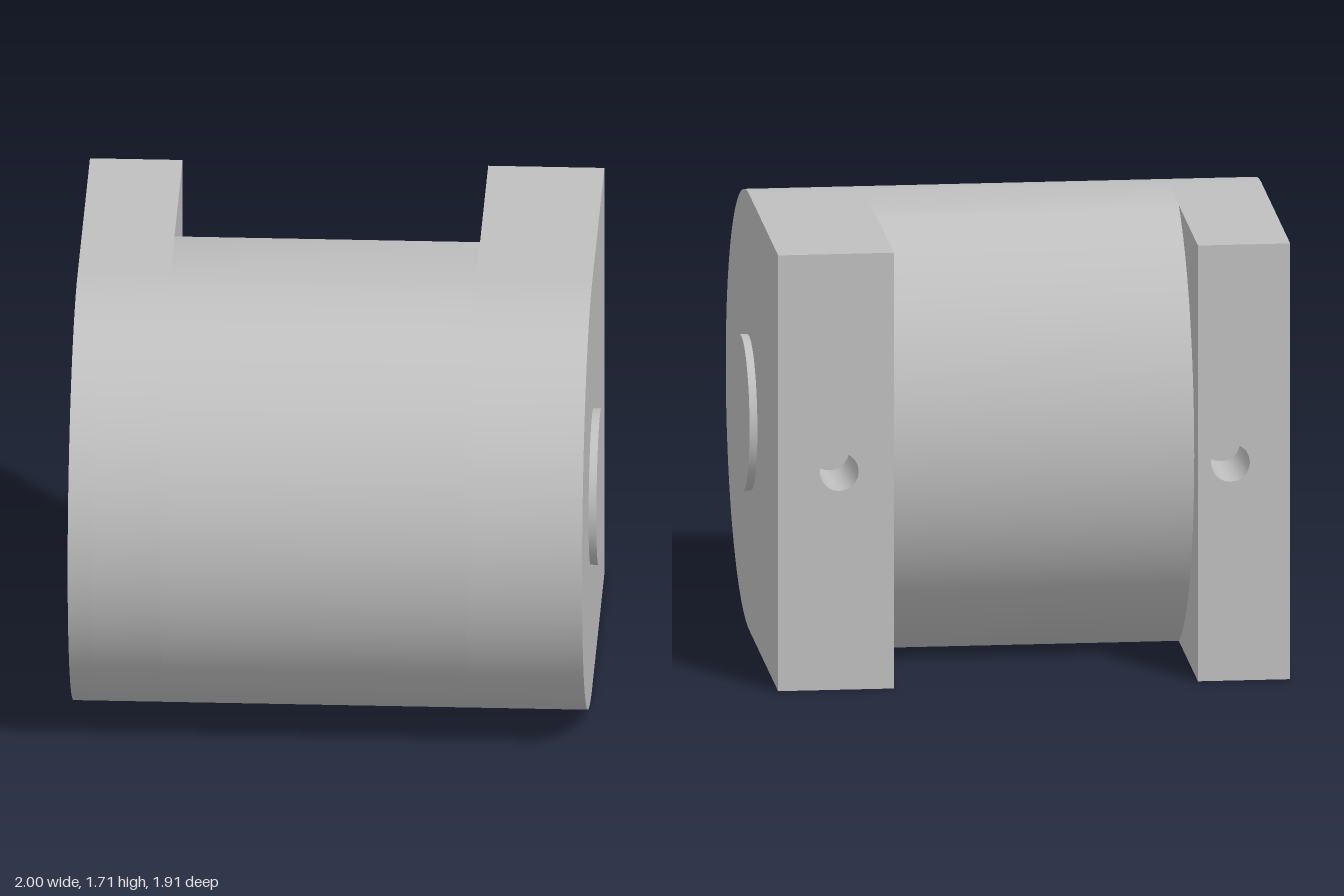
import * as THREE from 'three';
import { toCreasedNormals } from 'three/addons/utils/BufferGeometryUtils.js';

const R = 0.855;        // front rounding radius, also half the height
const CZ = 0.1;         // z of the rounding axis
const BACK = -0.955;    // rear face of the flanges
const SEAM = -0.6;      // floor of the bolt holes
const SLOT_L = 0.525, SLOT_R = -0.645; // slot walls
const END_L = 0.97, END_R = -1;

// Side outlines are drawn with u = -z, then extruded along x.
function frontArc(shape) {
  shape.lineTo(-CZ, 2 * R);
  shape.absarc(-CZ, R, R, Math.PI / 2, Math.PI * 1.5, false);
}

function flangeShape(recessRadius) {
  const s = new THREE.Shape();
  s.moveTo(-SEAM, 2 * R);
  frontArc(s);
  s.lineTo(-SEAM, 0);
  s.closePath();
  if (recessRadius) {
    s.holes.push(new THREE.Path().absarc(-CZ, R, recessRadius, 0, Math.PI * 2, true));
  }
  return s;
}

function drumShape() {
  const r = 0.93, cu = -0.11, a = Math.asin(R / r);
  const s = new THREE.Shape();
  s.moveTo(cu + r * Math.cos(a), 2 * R);
  frontArc(s);
  s.lineTo(cu + r * Math.cos(a), 0);
  s.absarc(cu, R, r, -a, a, false);
  return s;
}

function extrude(shape, depth, curveSegments) {
  return new THREE.ExtrudeGeometry(shape, { depth, curveSegments, bevelEnabled: false });
}

function alongX(shape, x0, x1) {
  const g = extrude(shape, x1 - x0, 32);
  g.rotateY(Math.PI / 2).translate(x0, 0, 0);
  return toCreasedNormals(g, 0.5);
}

export function createModel() {
  const grey = new THREE.MeshStandardMaterial({ color: 0xbfbfbf });
  grey.name = 'machinedGrey';
  const model = new THREE.Group();
  model.name = 'bearingHousing';

  const add = (name, geometry) => {
    const mesh = new THREE.Mesh(geometry, grey);
    mesh.name = name;
    model.add(mesh);
    return mesh;
  };

  // Body between the flanges, with its rounded rear
  add('drum', alongX(drumShape(), SLOT_R, SLOT_L));

  // Side flanges; the right one has a round recess outside
  add('leftFlange', alongX(flangeShape(), SLOT_L, END_L));
  add('rightFlange', alongX(flangeShape(), END_R + 0.09, SLOT_R));
  add('rightRecessRim', alongX(flangeShape(0.61), END_R, END_R + 0.09));

  // Rear mounting legs with blind bolt holes
  for (const [name, x0, x1, hx] of [
    ['leftLeg', SLOT_L, END_L, 0.735],
    ['rightLeg', END_R, SLOT_R, -0.77],
  ]) {
    const s = new THREE.Shape();
    s.moveTo(x0, 0);
    s.lineTo(x1, 0);
    s.lineTo(x1, 2 * R);
    s.lineTo(x0, 2 * R);
    s.closePath();
    s.holes.push(new THREE.Path().absarc(hx, R, 0.075, 0, Math.PI * 2, true));
    const g = extrude(s, SEAM - BACK, 10).translate(0, 0, BACK);
    add(name, toCreasedNormals(g, 0.8));
  }

  // Shaft boss on the left end
  const boss = add('shaftBoss', new THREE.CylinderGeometry(0.3, 0.3, 0.06, 28));
  boss.rotation.z = -Math.PI / 2;
  boss.position.set(END_L, R, CZ);

  return model;
}
